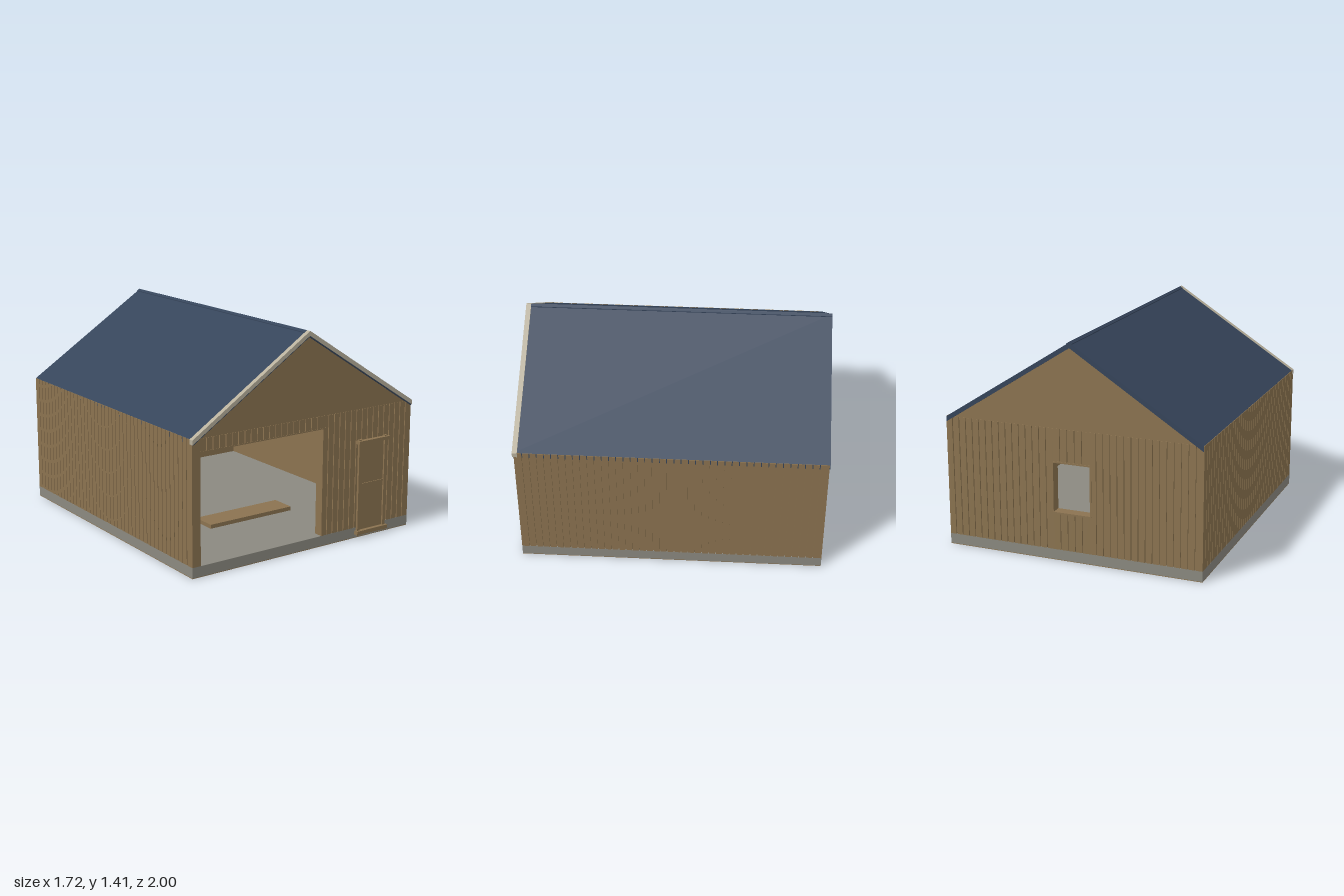
import * as THREE from 'three';
import { mergeGeometries } from 'three/addons/utils/BufferGeometryUtils.js';

const material = (name, color) => {
  const m = new THREE.MeshStandardMaterial({ color });
  m.name = name;
  return m;
};

// Box geometry given by its minimum and maximum on each axis
function block(x0, x1, y0, y1, z0, z1) {
  return new THREE.BoxGeometry(x1 - x0, y1 - y0, z1 - z0)
    .translate((x0 + x1) / 2, (y0 + y1) / 2, (z0 + z1) / 2);
}

// Outline in x and y, extruded from z0 to z1
function prism(points, z0, z1) {
  const shape = new THREE.Shape(points.map(p => new THREE.Vector2(p[0], p[1])));
  return new THREE.ExtrudeGeometry(shape, { depth: z1 - z0, bevelEnabled: false }).translate(0, 0, z0);
}

export function createModel() {
  const wood = material('timber brown', 0x8b7350);
  const navy = material('roof navy', 0x35445a);
  const cream = material('trim cream', 0xb8b09c);
  const concrete = material('concrete grey', 0x8b8980);

  const model = new THREE.Group();
  model.name = 'cabin';
  const add = (name, geometry, mat, parent = model) => {
    const mesh = new THREE.Mesh(geometry, mat);
    mesh.name = name;
    parent.add(mesh);
    return mesh;
  };

  const base = 0.07, eave = 0.86, front = 0.97, back = -0.995, half = 0.86;

  // Foundation, with the timber sill frame seen underneath
  add('foundation', block(-half, half, 0.004, base, back, front), concrete);
  add('slabUnderside', block(-0.8, 0.8, 0, 0.004, -0.935, 0.91), concrete);
  add('sillFrame', mergeGeometries([
    block(-half, -0.8, 0, 0.004, back, front),
    block(0.8, half, 0, 0.004, back, front),
    block(-0.8, 0.8, 0, 0.004, 0.91, front),
    block(-0.8, 0.8, 0, 0.004, back, -0.935),
  ]), wood);

  // A wall faces +z locally; segments [u0, u1, y0, y1] leave its openings free
  function wall(name, halfWidth, segments, position, turn) {
    const group = new THREE.Group();
    group.name = name;
    const pitch = 0.0455, gap = 0.006, boards = [], cores = [];
    const limit = halfWidth - 0.01;
    for (const [u0, u1, y0, y1] of segments) {
      cores.push(block(Math.max(u0, -limit), Math.min(u1, limit), y0, y1, -0.06, -0.01));
      const count = Math.max(1, Math.round((u1 - u0) / pitch));
      const step = (u1 - u0) / count;
      for (let i = 0; i < count; i++) {
        const u = u0 + i * step;
        boards.push(block(u, u + step - (i < count - 1 ? gap : 0), y0, y1, -0.01, 0));
      }
    }
    add(name + 'Core', mergeGeometries(cores), wood, group);
    add(name + 'Boards', mergeGeometries(boards), wood, group);
    group.position.set(...position);
    group.rotation.y = turn;
    model.add(group);
  }

  wall('frontWall', half, [
    [-half, -0.8, base, eave],
    [-0.8, 0.125, 0.78, eave],
    [0.125, half, base, eave],
  ], [0, 0, front], 0);
  wall('backWall', half, [
    [-half, -0.12, base, eave],
    [-0.12, 0.125, base, 0.32],
    [-0.12, 0.125, 0.64, eave],
    [0.125, half, base, eave],
  ], [0, 0, back], Math.PI);
  const sideHalf = (front - back) / 2 - 0.01, middle = (front + back) / 2;
  for (const s of [-1, 1]) {
    wall(s > 0 ? 'leftWall' : 'rightWall', sideHalf,
      [[-sideHalf, sideHalf, base, eave]], [s * half, 0, middle], s * Math.PI / 2);
  }

  // Edge post and lintel strip of the wide opening
  add('openingPost', block(0.125, 0.147, base, 0.78, 0.91, front + 0.002), wood);
  add('openingLintel', block(-0.8, 0.147, 0.775, 0.782, 0.91, front + 0.002), wood);

  // Smooth gables with the ceiling between them
  add('gables', prism([[-0.805, eave], [0.805, eave], [0, 1.376]], back + 0.003, front - 0.003), wood);

  // Roof shell, front verge boards and ridge cap
  const slope = 0.64;
  const chevron = (peak, w, thick) => [
    [0, peak], [-w, peak - slope * w], [-w, peak - slope * w - thick],
    [0, peak - thick], [w, peak - slope * w - thick], [w, peak - slope * w],
  ];
  add('roof', prism(chevron(1.408, 0.857, 0.034), -1, 0.974), navy);
  add('vergeBoards', prism(chevron(1.413, 0.862, 0.03), 0.948, 0.98), cream);
  add('ridgeCap', prism(chevron(1.413, 0.018, 0.01), -1, 0.948), navy);

  // Door with posts, head, sill and middle rail
  const door = new THREE.Group();
  door.name = 'door';
  model.add(door);
  add('doorPanel', block(0.435, 0.63, 0.05, 0.64, front, 0.974), wood, door);
  add('doorHead', block(0.403, 0.662, 0.633, 0.655, front, 1), wood, door);
  add('doorSill', block(0.403, 0.662, 0.025, 0.05, front, 1), wood, door);
  add('doorRail', block(0.435, 0.63, 0.354, 0.364, front, 0.98), wood, door);
  for (const x of [0.415, 0.63]) {
    add('doorPost', block(x, x + 0.021, 0.015, 0.661, front, 0.985), wood, door);
  }

  // Back window lining and sill
  add('windowSill', block(-0.135, 0.13, 0.308, 0.32, back - 0.005, -0.93), wood);
  add('windowHead', block(-0.135, 0.13, 0.64, 0.65, back - 0.004, -0.93), wood);
  for (const x of [-0.135, 0.12]) {
    add('windowJamb', block(x, x + 0.01, 0.32, 0.64, back - 0.003, -0.93), wood);
  }

  // Bench board inside the opening
  add('bench', block(-0.645, -0.03, 0.24, 0.265, 0.69, 0.85), wood);

  return model;
}
